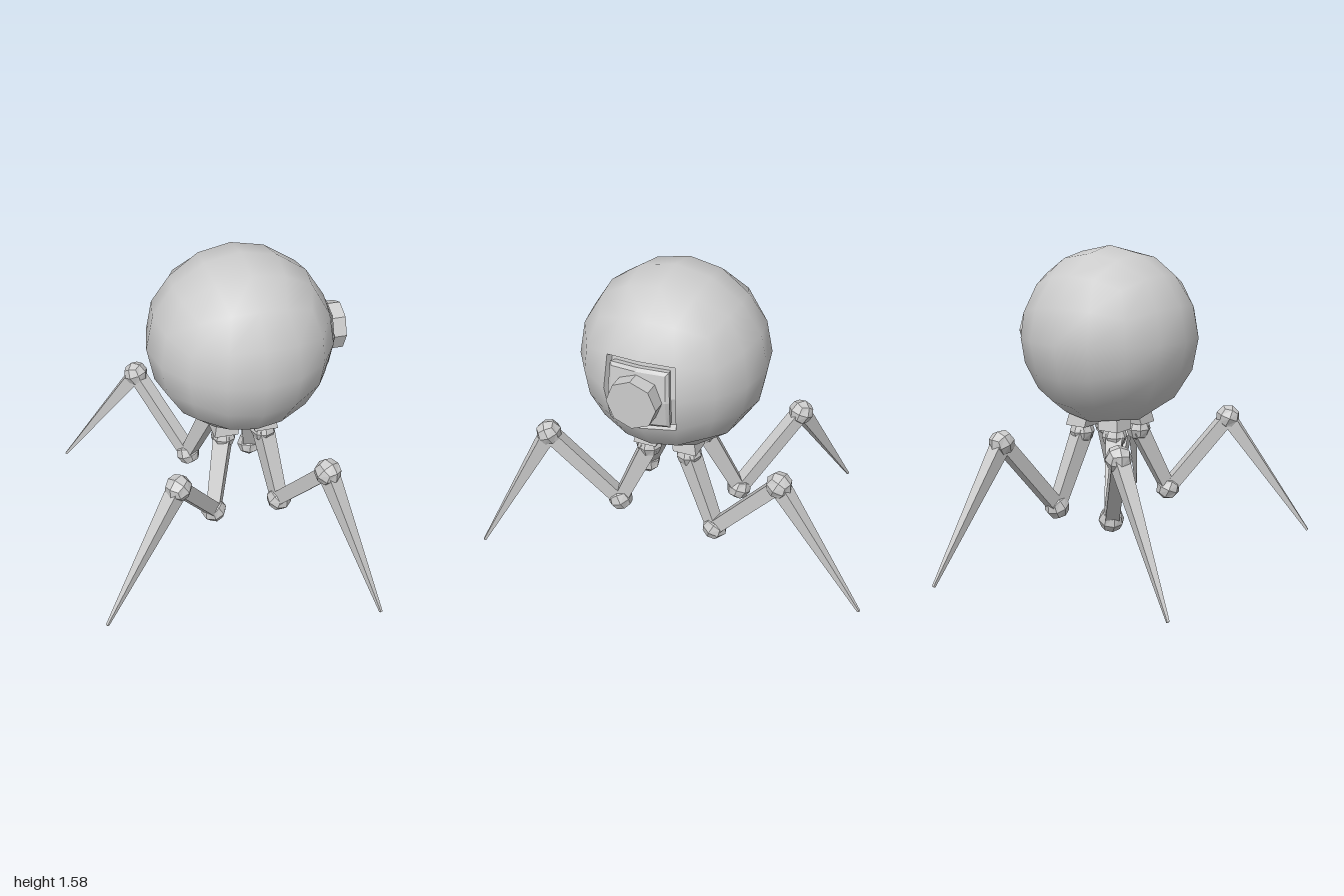
import * as THREE from 'three';

const grey = new THREE.MeshStandardMaterial({ color: 0xcccccc, side: THREE.DoubleSide });
grey.name = 'grey';

const CENTRE = new THREE.Vector3(0.163, 1.122, 0.066);
const R = 0.463;
const HATCH = Math.PI / 8; // half angle of the openings

// Sphere made from an evenly subdivided cube
function cubeSphere(radius, n) {
  const geo = new THREE.BoxGeometry(2, 2, 2, n, n, n);
  const pos = geo.attributes.position;
  const v = new THREE.Vector3();
  for (let i = 0; i < pos.count; i++) {
    v.fromBufferAttribute(pos, i);
    v.set(...v.toArray().map((c) => Math.tan((c * Math.PI) / 4))).setLength(radius);
    pos.setXYZ(i, v.x, v.y, v.z);
  }
  return geo;
}

function flat(geo) {
  const g = geo.toNonIndexed();
  g.computeVertexNormals();
  return g;
}

// Piece of spherical shell around +x, half angle a0 inside and a1 outside
function curvedBlock(r0, r1, a0, a1, open = false) {
  const geo = new THREE.BoxGeometry(2, 2, 2, 1, 2, 2);
  const pos = geo.attributes.position;
  const v = new THREE.Vector3();
  for (let i = 0; i < pos.count; i++) {
    const outer = pos.getX(i) > 0;
    const a = outer ? a1 : a0;
    v.set(1, Math.tan(pos.getY(i) * a), Math.tan(pos.getZ(i) * a)).setLength(outer ? r1 : r0);
    pos.setXYZ(i, v.x, v.y, v.z);
  }
  // drop the inner and outer caps to leave a rim
  if (open) geo.setIndex(Array.from(geo.index.array).slice(geo.groups[2].start));
  geo.clearGroups();
  return flat(geo);
}

export function createModel() {
  const model = new THREE.Group();
  model.name = 'walker';

  function add(name, geo, parent = model) {
    const mesh = new THREE.Mesh(geo, grey);
    mesh.name = name;
    parent.add(mesh);
    return mesh;
  }

  // Body: smooth shell with square openings on its left side and underneath
  const body = new THREE.Group();
  body.name = 'body';
  body.position.copy(CENTRE);
  model.add(body);

  const shell = cubeSphere(R, 4);
  const p = shell.attributes.position;
  const old = shell.index.array;
  const kept = [];
  const c = new THREE.Vector3();
  for (let i = 0; i < old.length; i += 3) {
    c.set(0, 0, 0);
    for (let k = 0; k < 3; k++) c.add(new THREE.Vector3().fromBufferAttribute(p, old[i + k]));
    c.normalize();
    if (c.x < 0.92 && c.y > -0.92) kept.push(old[i], old[i + 1], old[i + 2]);
  }
  shell.setIndex(kept);
  shell.clearGroups();
  for (let i = 0; i < p.count; i++) {
    c.fromBufferAttribute(p, i).normalize();
    shell.attributes.normal.setXYZ(i, c.x, c.y, c.z);
  }
  add('shell', shell, body);

  // Recessed floors and rims of both openings
  for (const [name, turn] of [['side', 0], ['bottom', -Math.PI / 2]]) {
    const opening = new THREE.Group();
    opening.name = name + 'Opening';
    opening.rotation.z = turn;
    body.add(opening);
    add(name + 'Rim', curvedBlock(0.425, R, HATCH, HATCH, true), opening);
    add(name + 'Recess', curvedBlock(0.40, 0.43, HATCH, HATCH), opening);
  }

  // Hatch plate and eight-sided eye boss
  add('hatchPlate', curvedBlock(0.42, 0.462, 0.345, 0.335), body);
  add('hatchBevel', curvedBlock(0.462, 0.468, 0.335, 0.295), body);
  const boss = new THREE.CylinderGeometry(0.122, 0.122, 0.09, 8);
  boss.rotateZ(-Math.PI / 2);
  add('eyeBoss', flat(boss), body).position.x = 0.472;

  // Square beam from a to b, tapering
  function beam(name, a, b, wa, wb, parent) {
    const geo = new THREE.CylinderGeometry(wb * Math.SQRT1_2, wa * Math.SQRT1_2, a.distanceTo(b), 4);
    geo.rotateY(Math.PI / 4).rotateX(Math.PI / 2);
    const mesh = add(name, flat(geo), parent);
    mesh.position.copy(a).lerp(b, 0.5);
    mesh.lookAt(b);
  }

  // Legs: hip, low knee, high knee, foot
  const legs = {
    frontRightLeg: [[0.06, 0.62, 0.175], [-0.03, 0.27, 0.33], [-0.265, 0.655, 0.56], [-0.67, 0.035, 0.752]],
    frontLeftLeg: [[0.27, 0.62, 0.175], [0.322, 0.27, 0.33], [0.442, 0.678, 0.652], [0.642, 0.022, 0.99]],
    backRightLeg: [[0.06, 0.62, -0.04], [-0.035, 0.235, -0.2], [-0.265, 0.64, -0.455], [-0.67, 0.008, -0.65]],
    backLeftLeg: [[0.27, 0.62, -0.04], [0.318, 0.235, -0.2], [0.378, 0.642, -0.545], [0.422, 0.028, -0.995]],
  };
  for (const [name, points] of Object.entries(legs)) {
    const leg = new THREE.Group();
    leg.name = name;
    model.add(leg);
    const [hip, low, high, foot] = points.map((q) => new THREE.Vector3(...q));
    const root = new THREE.Vector3(0.163 + (hip.x - 0.163) * 0.82, 0.76, 0.066 + (hip.z - 0.066) * 0.82);
    const stubEnd = hip.clone().setY(0.655);

    // Straight-sided socket under the body
    const socket = new THREE.CylinderGeometry(0.118 * Math.SQRT1_2, 0.122 * Math.SQRT1_2, root.y - stubEnd.y, 4);
    socket.rotateY(Math.PI / 4);
    const sp = socket.attributes.position;
    for (let i = 0; i < sp.count; i++) {
      const end = sp.getY(i) > 0 ? root : stubEnd;
      sp.setXYZ(i, sp.getX(i) + end.x, end.y, sp.getZ(i) + end.z);
    }
    add('socket', flat(socket), leg);

    beam('thigh', hip, low, 0.085, 0.066, leg);
    beam('middleLeg', low, high, 0.07, 0.07, leg);
    beam('spike', high, foot, 0.075, 0.012, leg);

    // Faceted joints
    for (const [jointName, at] of [['hipJoint', hip], ['lowKnee', low], ['highKnee', high]]) {
      const joint = add(jointName, flat(cubeSphere(0.066, 2)), leg);
      joint.geometry.clearGroups();
      joint.position.copy(at);
      if (at !== hip) joint.rotation.set(0.4, Math.atan2(foot.x - hip.x, foot.z - hip.z), 0, 'YXZ');
    }
  }
  return model;
}
